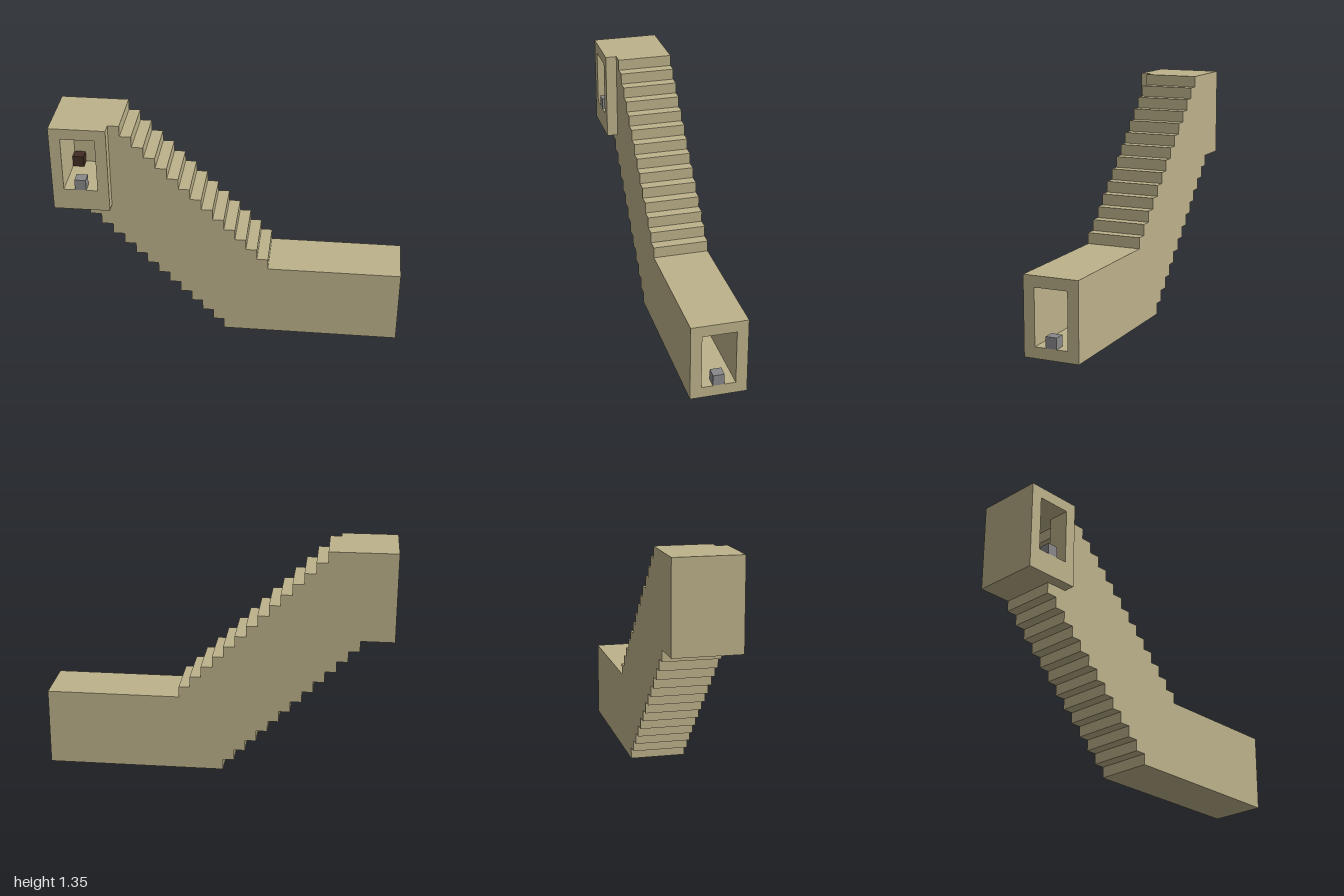
import * as THREE from 'three';

const U = 2 / 31; // one block

export function createModel() {
  const group = new THREE.Group();
  const sand = new THREE.MeshStandardMaterial({ color: 0xbdb28b });
  sand.name = 'sand';
  const brown = new THREE.MeshStandardMaterial({ color: 0x422c24 });
  brown.name = 'dark brown';
  const grey = new THREE.MeshStandardMaterial({ color: 0x89898b });
  grey.name = 'grey';

  // all helpers work in block units: x 0..31, y 0..21, z -3..3
  const toShape = (pts) => new THREE.Shape(pts.map(([x, y]) => new THREE.Vector2(x, y)));
  const rect = (x0, y0, x1, y1) => [[x0, y0], [x1, y0], [x1, y1], [x0, y1]];

  function layer(name, pts, z0, z1, hole) {
    const shape = toShape(pts);
    if (hole) shape.holes.push(toShape(hole));
    const geo = new THREE.ExtrudeGeometry(shape, { depth: z1 - z0, bevelEnabled: false });
    geo.translate(-15.5, 0, z0);
    geo.scale(U, U, U);
    const mesh = new THREE.Mesh(geo, sand);
    mesh.name = name;
    group.add(mesh);
  }

  function block(name, x, y, z, material, parent = group) {
    const mesh = new THREE.Mesh(new THREE.BoxGeometry(U, U, U), material);
    mesh.position.set((x + 0.5 - 15.5) * U, (y + 0.5) * U, (z + 0.5) * U);
    mesh.name = name;
    parent.add(mesh);
  }

  // stepped underside, left to right
  const under = [[0, 13], [3, 13]];
  for (let i = 3; i < 15; i++) under.push([i, 15 - i], [i + 1, 15 - i]);
  under.push([15, 0], [31, 0]);

  // stepped roof, right to left
  const roof = [[31, 7], [19, 7]];
  for (let i = 18; i >= 6; i--) roof.push([i + 1, 26 - i], [i, 26 - i]);
  roof.push([6, 21], [0, 21]);

  // passage: lower floor, stair bed, upper room, sloping ceiling
  const passage = [[31, 1], [17, 1]];
  for (let i = 16; i >= 4; i--) passage.push([i + 1, 17 - i], [i, 17 - i]);
  passage.push([4, 15], [1, 15], [1, 20], [4, 20]);
  for (let i = 4; i < 18; i++) passage.push([i, 24 - i], [i + 1, 24 - i]);
  passage.push([18, 6], [31, 6]);

  // drop repeated points
  const clean = (pts) => pts.filter(([x, y], i) => {
    const [px, py] = pts[(i + pts.length - 1) % pts.length];
    return x !== px || y !== py;
  });

  const doorway = rect(1, 15, 4, 20);
  layer('backWall', clean([...under, ...roof]), -3, -2);
  layer('passageShell', clean([...under, ...passage, ...roof]), -2, 1);
  layer('frontWall', clean([...under, ...roof]), 1, 2, doorway);
  layer('upperDoorFrame', rect(0, 13, 5, 21), 2, 3, doorway);

  // inner stairs of mixed blocks; 1 marks a brown one, z from -2 to 0
  const mix = [[1, 1, 1], [1, 1, 0], [0, 0, 0], [0, 0, 1], [1, 1, 1]];
  const stairs = new THREE.Group();
  stairs.name = 'innerStairs';
  group.add(stairs);
  for (let y = 1; y <= 13; y++) {
    mix[(y - 1) % mix.length].forEach((dark, k) =>
      block('stairBlock', 17 - y, y, k - 2, dark ? brown : sand, stairs));
  }

  // loose blocks at the two doorways
  block('upperRoomBlock', 1, 15, -2, brown);
  block('upperDoorBlock', 2, 15, 2, grey);
  block('lowerDoorBlock', 30, 1, -1, grey);

  return group;
}
